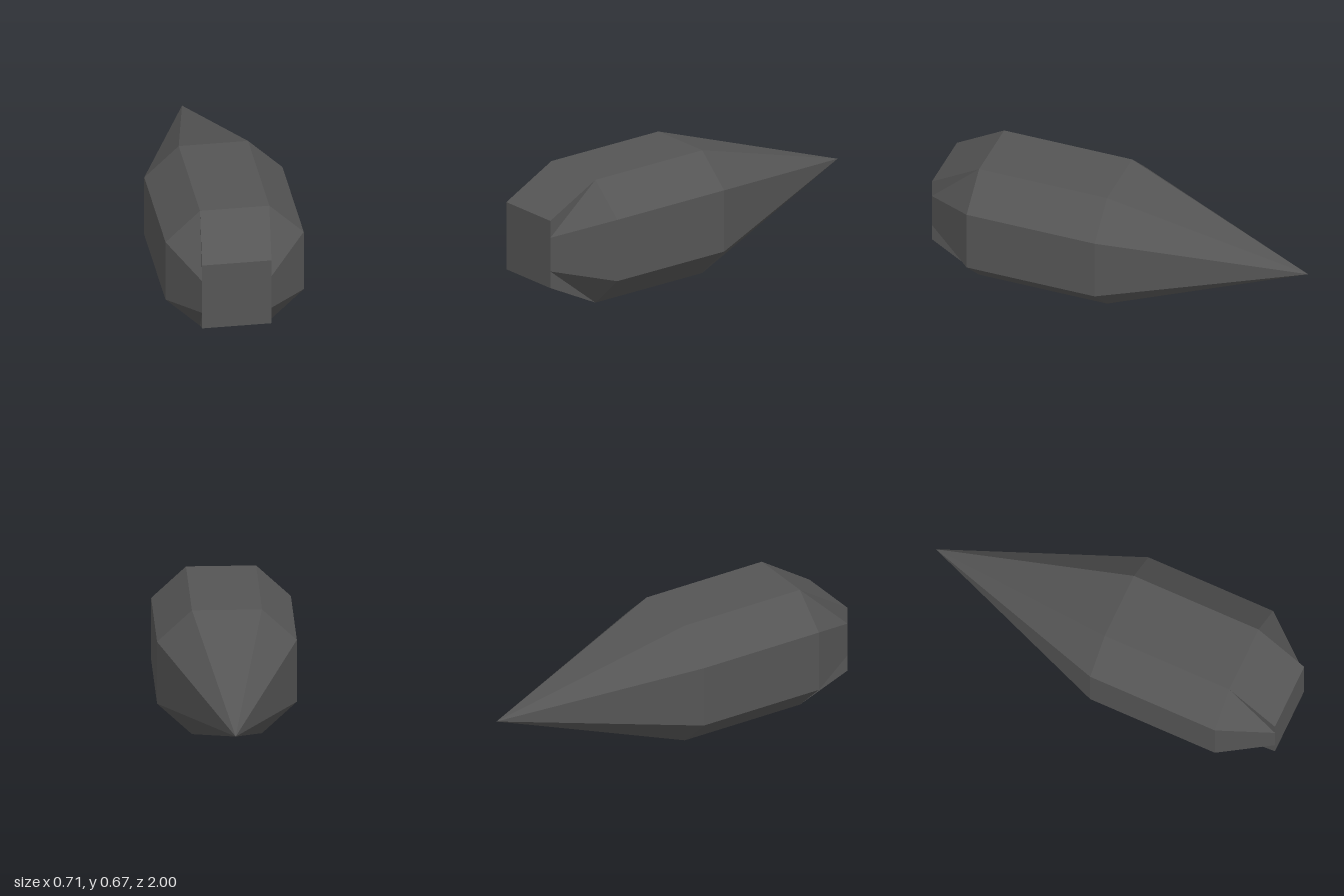
import * as THREE from 'three';

// Eight-sided section, counter-clockwise seen from the front
function section(z, cx, sideX, flatX, ys) {
  const [y0, y1, y2, y3] = ys;
  return [
    [sideX, y1], [sideX, y2], [flatX, y3], [-flatX, y3],
    [-sideX, y2], [-sideX, y1], [-flatX, y0], [flatX, y0],
  ].map(([x, y]) => [x + cx, y, z]);
}

// Flat-faced geometry from a list of triangles
function facets(triangles) {
  const geometry = new THREE.BufferGeometry();
  geometry.setAttribute('position', new THREE.Float32BufferAttribute(triangles.flat(2), 3));
  geometry.computeVertexNormals();
  return geometry;
}

// Skin between a rear and a front section
function loft(rear, front) {
  const triangles = [];
  rear.forEach((a, i) => {
    const j = (i + 1) % rear.length;
    const b = rear[j], c = front[j], d = front[i];
    // Corner facets fold along the diagonal that leaves the body's flat corners
    if (i % 4 === 1) triangles.push([a, b, d], [b, c, d]);
    else triangles.push([a, b, c], [a, c, d]);
  });
  return facets(triangles);
}

export function createModel() {
  const model = new THREE.Group();
  const darkGrey = new THREE.MeshStandardMaterial({ color: 0x555555, flatShading: true });
  darkGrey.name = 'darkGrey';

  const bodyYs = [0, 0.167, 0.5, 0.667];
  const rear = section(0.03, 0, 0.357, 0.179, bodyYs);
  const shoulder = section(0.73, 0, 0.357, 0.179, bodyYs);
  // The nose section is squared off and slightly off centre
  const nose = section(1, -0.031, 0.179, 0.179, [0.132, 0.222, 0.405, 0.497]);
  const tip = [0, 0.333, -1];

  const add = (name, geometry) => {
    const mesh = new THREE.Mesh(geometry, darkGrey);
    mesh.name = name;
    model.add(mesh);
  };

  add('body', loft(rear, shoulder));
  add('noseTaper', loft(shoulder, nose));
  add('tailSpike', facets(rear.map((p, i) => [tip, rear[(i + 1) % 8], p])));

  // Rectangular end of the nose
  add('noseFace', facets([
    [nose[7], nose[0], nose[5]], [nose[7], nose[5], nose[6]],
    [nose[0], nose[1], nose[4]], [nose[0], nose[4], nose[5]],
    [nose[1], nose[2], nose[3]], [nose[1], nose[3], nose[4]],
  ]));

  return model;
}
